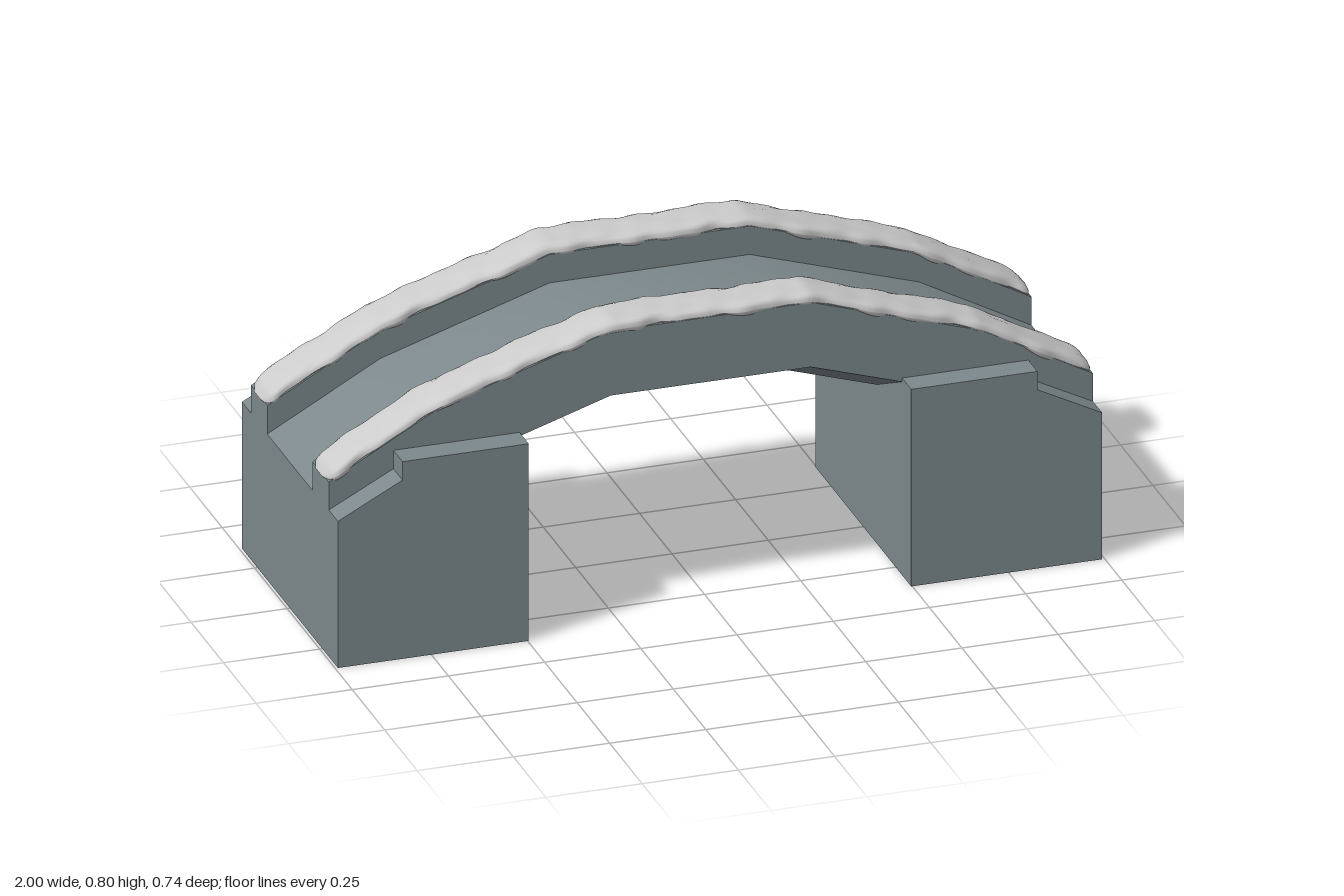
import * as THREE from 'three';

const stone = new THREE.MeshStandardMaterial({ color: 0x7d898d, side: THREE.DoubleSide });
const snow = new THREE.MeshStandardMaterial({ color: 0xcccccc });

// Half of the arch line (top of the parapet), mirrored to the full span
const END = 0.993;
const HALF = [[0.26, 0.775], [0.7, 0.635], [END, 0.474]];
const ARCH = [...HALF.map(([x, y]) => [-x, y]).reverse(), ...HALF];
const DECK_DROP = 0.077, WALL_HEIGHT = 0.175, BELLY = 0.095;
const WALL_IN = 0.173, WALL_OUT = 0.299, BASE_OUT = 0.369;

function archY(x) {
  for (let i = 1; i < ARCH.length; i++) {
    const [x0, y0] = ARCH[i - 1], [x1, y1] = ARCH[i];
    if (x <= x1 || i === ARCH.length - 1) return y0 + (y1 - y0) * (x - x0) / (x1 - x0);
  }
}

// Side profile extruded from z0 to z1
function slab(name, points, z0, z1) {
  const shape = new THREE.Shape(points.map(([x, y]) => new THREE.Vector2(x, y)));
  const geo = new THREE.ExtrudeGeometry(shape, { depth: z1 - z0, bevelEnabled: false });
  geo.translate(0, 0, z0);
  const mesh = new THREE.Mesh(geo, stone);
  mesh.name = name;
  return mesh;
}

// Indexed surface from rows of points, smooth normals
function loft(name, rows, material) {
  const n = rows[0].length, index = [];
  for (let i = 0; i < rows.length - 1; i++) {
    for (let j = 0; j < n - 1; j++) {
      const a = i * n + j, b = a + n;
      index.push(a, b, a + 1, b, b + 1, a + 1);
    }
  }
  const geo = new THREE.BufferGeometry();
  geo.setAttribute('position', new THREE.Float32BufferAttribute(rows.flat(2), 3));
  geo.setIndex(index);
  geo.computeVertexNormals();
  const mesh = new THREE.Mesh(geo, material);
  mesh.name = name;
  return mesh;
}

// Lumpy snow lying along one parapet
function snowCap(name, zMid, phase) {
  const rows = [], steps = 160, sides = 24, end = 0.998;
  const power = (v, p) => Math.sign(v) * Math.abs(v) ** p;
  for (let i = 0; i <= steps; i++) {
    // Rows packed closer together towards the rounded ends
    const x = end * (0.75 * (2 * i / steps - 1) - 0.25 * Math.cos(Math.PI * i / steps));
    const e = Math.min(1, (end - Math.abs(x)) / 0.03);
    const round = Math.sqrt(Math.max(0, 1 - (1 - e) ** 2));
    const row = [];
    for (let j = 0; j <= sides; j++) {
      const a = (j % sides) / sides * Math.PI * 2;
      const c = power(Math.cos(a), 0.55), s = power(Math.sin(a), 0.75);
      const side = c * 1.7 + phase;
      const lump = Math.sin(x * 17 + side * 3) * 0.4 + Math.sin(x * 41 + side * 5) * 0.35
        + Math.sin(x * 73 + side) * 0.25;
      const w = 0.063 + 0.008 * lump;
      const h = s > 0 ? 0.022 + 0.003 * lump : 0.014 + 0.008 * lump;
      row.push([x, archY(x) + 0.003 + h * s * round, zMid + w * c * (0.4 + 0.6 * round)]);
    }
    rows.push(row);
  }
  return loft(name, rows, snow);
}

export function createModel() {
  const model = new THREE.Group();
  model.name = 'snowyBridge';

  // Abutments: core under the deck and a notched ledge on each side
  const core = [[0.497, 0], [END, 0], [END, 0.396], [0.7, 0.53], [0.497, 0.53]];
  const ledge = [[0.497, 0], [END, 0], [END, 0.398], [0.825, 0.485], [0.825, 0.535], [0.497, 0.535]];
  for (const s of [1, -1]) {
    const side = s > 0 ? 'left' : 'right';
    const flip = pts => pts.map(([x, y]) => [x * s, y]);
    model.add(slab(side + 'AbutmentCore', flip(core), -WALL_OUT, WALL_OUT));
    model.add(slab(side + 'AbutmentFrontLedge', flip(ledge), WALL_OUT, BASE_OUT));
    model.add(slab(side + 'AbutmentBackLedge', flip(ledge), -BASE_OUT, -WALL_OUT));
  }

  // Walkway between two parapets
  model.add(loft('deck', ARCH.map(([x, y]) =>
    [WALL_IN, -WALL_IN].map(z => [x, y - DECK_DROP, z])), stone));
  const wall = [...ARCH, ...ARCH.map(([x, y]) => [x, y - WALL_HEIGHT]).reverse()];
  model.add(slab('frontParapet', wall, WALL_IN, WALL_OUT));
  model.add(slab('backParapet', wall, -WALL_OUT, -WALL_IN));

  // Keel-shaped underside of the arch
  const keel = [[-WALL_OUT, 0], [-0.1, BELLY], [0.1, BELLY], [WALL_OUT, 0]];
  model.add(loft('archUnderside', [-0.52, -0.26, 0.26, 0.52].map(x =>
    keel.map(([z, drop]) => [x, archY(x) - WALL_HEIGHT - drop, z])), stone));

  // Snow on the parapets
  const mid = (WALL_IN + WALL_OUT) / 2;
  model.add(snowCap('frontSnow', mid, 0.4));
  model.add(snowCap('backSnow', -mid, 2.9));
  return model;
}
